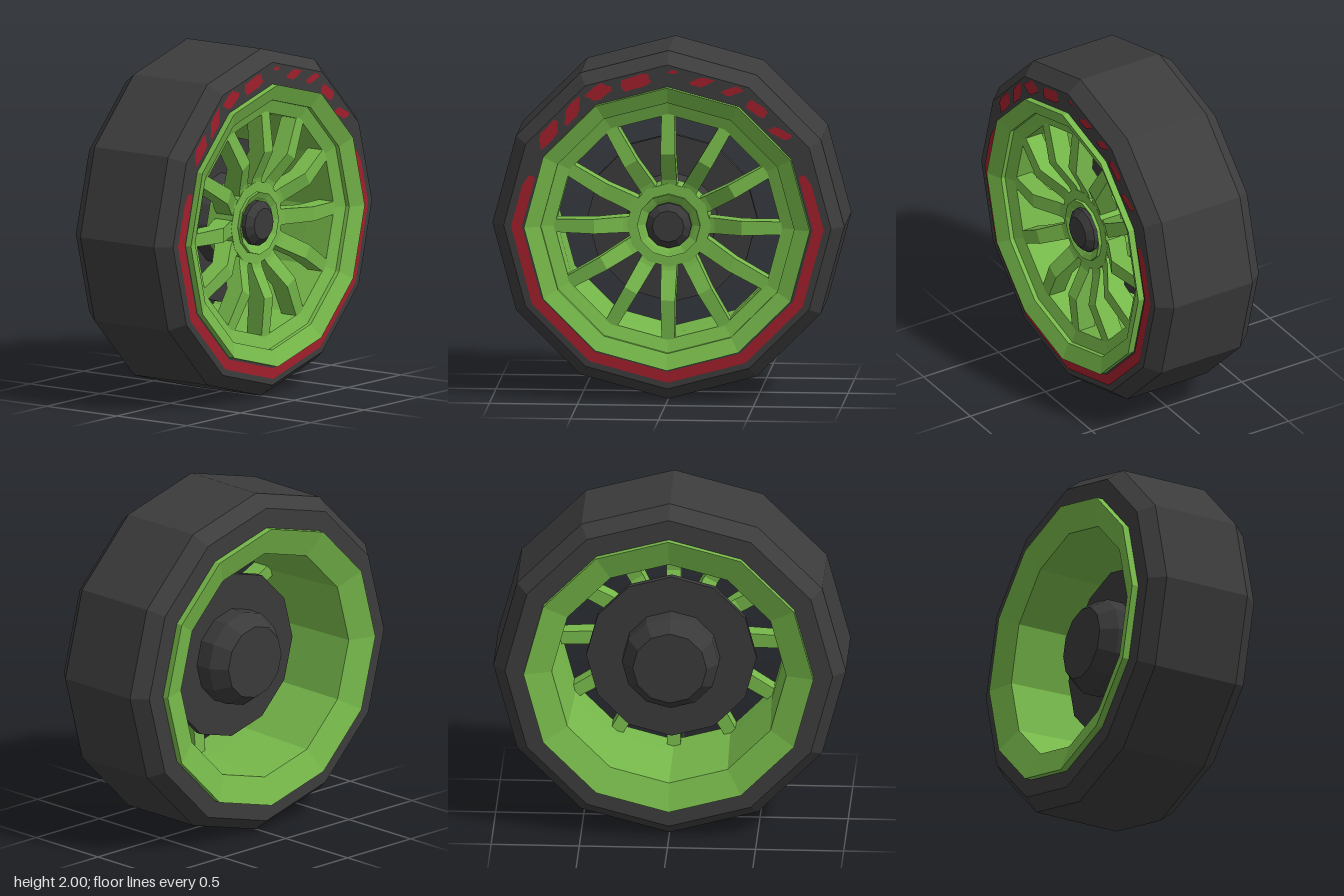
import * as THREE from 'three';

const SIDES = 12;
const flat = (name, color, extra = {}) => {
  const m = new THREE.MeshStandardMaterial({ color, flatShading: true, ...extra });
  m.name = name;
  return m;
};

export function createModel() {
  const rubber = flat('dark rubber', 0x3c3c3c);
  const green = flat('green paint', 0x76b84a);
  const red = flat('red paint', 0xa01f2c, { side: THREE.DoubleSide });
  const metal = flat('dark metal', 0x3a3a3b);

  const wheel = new THREE.Group();
  wheel.name = 'wheel';
  const add = (name, geometry, material, parent) => {
    const mesh = new THREE.Mesh(geometry, material);
    mesh.name = name;
    parent.add(mesh);
    return mesh;
  };
  // Twelve-sided ring or disc turned about the x axis; points are [radius, x]
  const turned = (name, points, material, parent) => {
    const g = new THREE.LatheGeometry(points.map(([r, x]) => new THREE.Vector2(r, x)), SIDES);
    return add(name, g.rotateZ(-Math.PI / 2), material, parent);
  };

  // Tyre with chamfered shoulders
  turned('tyre', [
    [0.78, -0.345], [0.93, -0.345], [1, -0.26], [1, 0.264], [0.93, 0.347], [0.78, 0.347],
  ], rubber, wheel);

  // The rim assembly sits a touch below the tyre's centre
  const core = new THREE.Group();
  core.name = 'rimAssembly';
  core.position.y = -0.008;
  wheel.add(core);

  // Rim: sloped lips, stepped front and barrel
  turned('rim', [
    [0.822, -0.385], [0.812, 0.385], [0.72, 0.345], [0.72, 0.32], [0.645, 0.295],
    [0.645, 0.12], [0.665, -0.33], [0.822, -0.385],
  ], green, core);

  // Hub plate with a raised, dished collar
  turned('hub', [
    [0.24, 0.06], [0.24, 0.235], [0.18, 0.235], [0.18, 0.255], [0.15, 0.24],
    [0.13, 0.225], [0, 0.225],
  ], green, core);
  turned('hubCap', [[0.13, 0.22], [0.13, 0.25], [0.09, 0.285], [0, 0.285]], metal, core);

  // Brake disc and axle housing behind the spokes
  turned('brakeDisc', [[0, -0.06], [0.483, -0.06], [0.483, -0.02], [0, -0.02]], metal, core);
  turned('axleHousing', [[0, -0.25], [0.21, -0.25], [0.275, -0.16], [0.275, -0.04], [0.2, 0.07]],
    metal, core);

  // Bent spokes: side profile in (radius, x), widened towards the hub
  const profile = new THREE.Shape([
    [0.2, 0.11], [0.26, 0.125], [0.42, 0.21], [0.66, 0.19],
    [0.66, 0.295], [0.42, 0.32], [0.26, 0.24], [0.2, 0.225],
  ].map(([r, x]) => new THREE.Vector2(r, x)));
  const spokeGeo = new THREE.ExtrudeGeometry(profile, { depth: 0.08, bevelEnabled: false });
  spokeGeo.translate(0, 0, -0.04);
  const pos = spokeGeo.attributes.position;
  for (let i = 0; i < pos.count; i++) pos.setZ(i, pos.getZ(i) * (1.25 - 0.5 * pos.getX(i)));
  spokeGeo.applyMatrix4(new THREE.Matrix4().makeBasis(
    new THREE.Vector3(0, 1, 0), new THREE.Vector3(1, 0, 0), new THREE.Vector3(0, 0, -1)));
  const spokes = new THREE.Group();
  spokes.name = 'spokes';
  core.add(spokes);
  for (let i = 0; i < SIDES; i++) {
    add('spoke', spokeGeo, green, spokes).rotation.x = (i * Math.PI * 2) / SIDES;
  }

  // Painted marks on the outer sidewall
  const marks = new THREE.Group();
  marks.name = 'sidewallPaint';
  marks.position.set(0.351, -0.006, 0);
  marks.rotation.y = Math.PI / 2;
  wheel.add(marks);

  // Stripe following the twelve-sided wall around the lower part, with pointed ends
  const onWall = (radius, deg) => {
    const a = THREE.MathUtils.degToRad(deg);
    const off = THREE.MathUtils.degToRad((deg % 30) - 15);
    const r = (radius * Math.cos(Math.PI / 12)) / Math.cos(off);
    return new THREE.Vector2(r * Math.cos(a), r * Math.sin(a));
  };
  const corners = [180, 210, 240, 270, 300, 330, 360];
  const outer = [164, ...corners, 377].map((d) => onWall(0.888, d));
  const inner = [159.5, ...corners, 382].map((d) => onWall(0.826, d));
  const tips = [onWall(0.865, 159.5), onWall(0.865, 382)];
  add('stripe', new THREE.ShapeGeometry(
    new THREE.Shape([tips[0], ...outer, tips[1], ...inner.reverse()])), red, marks);

  // Irregular paint dabs on the upper part: [across, up, length, width, tilt in degrees]
  const dabs = [
    [-0.674, 0.53, 0.18, 0.075, 58], [-0.54, 0.664, 0.17, 0.065, 65],
    [-0.39, 0.776, 0.15, 0.08, 25], [-0.182, 0.835, 0.19, 0.08, 18],
    [0.032, 0.896, 0.055, 0.022, 0], [0.193, 0.84, 0.13, 0.05, 8],
    [0.369, 0.79, 0.12, 0.045, 12], [0.508, 0.69, 0.14, 0.065, -35],
    [0.642, 0.551, 0.14, 0.05, -22],
  ];
  for (const [x, y, length, width, tilt] of dabs) {
    const outline = [];
    for (let i = 0; i < 11; i++) {
      const a = (i * Math.PI * 2) / 11;
      const k = 0.5 * (1 + 0.17 * Math.sin(i * 2.3 + x * 9));
      outline.push(new THREE.Vector2(length * k * Math.cos(a), width * k * Math.sin(a)));
    }
    const dab = add('paintDab', new THREE.ShapeGeometry(new THREE.Shape(outline)), red, marks);
    dab.position.set(x, y, 0);
    dab.rotation.z = THREE.MathUtils.degToRad(tilt);
  }

  // Stand the wheel on the ground
  wheel.position.y = 1;
  const model = new THREE.Group();
  model.name = 'wheelModel';
  model.add(wheel);
  return model;
}
